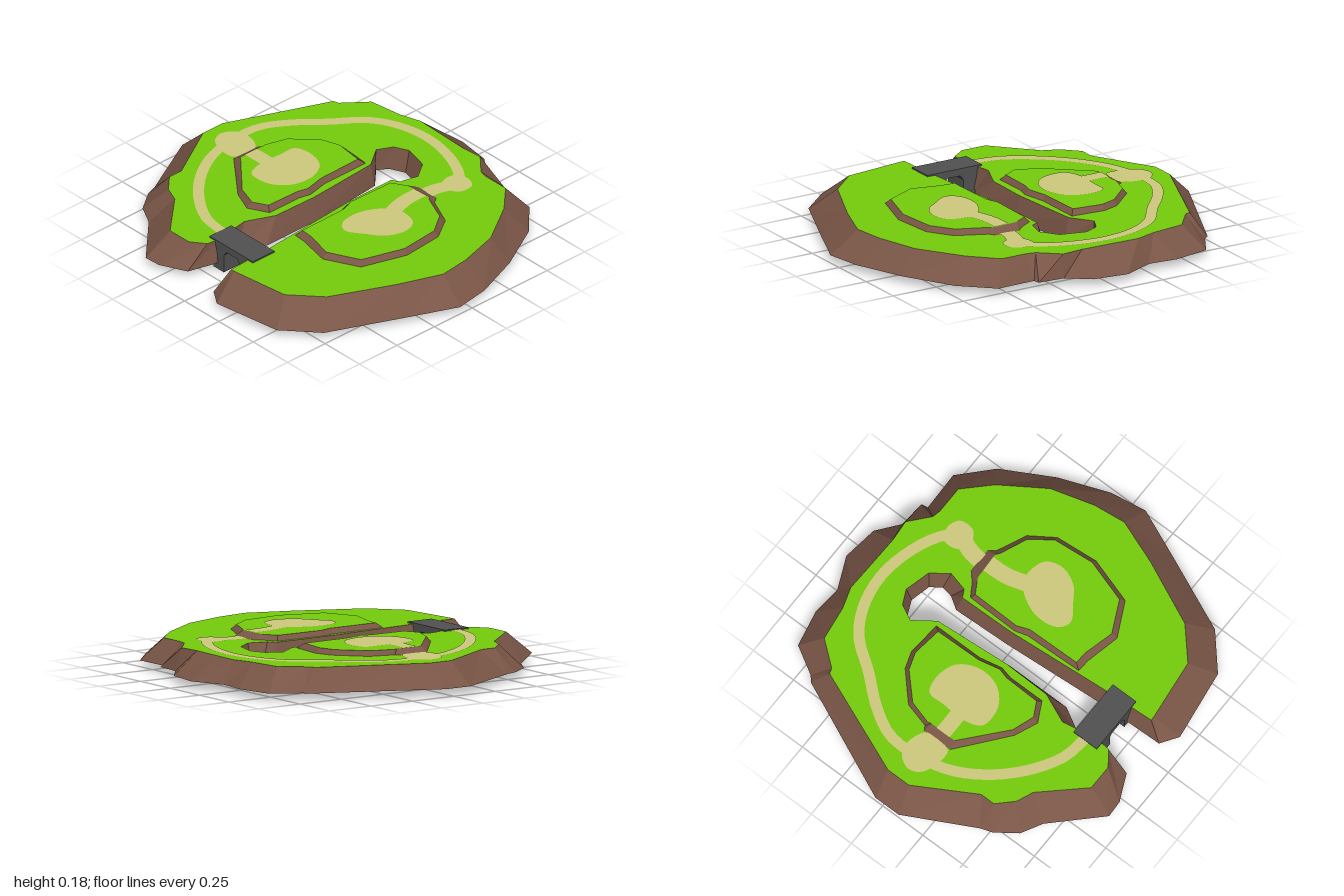
import * as THREE from 'three';

const BASE = 0.04, GROUND = 0.155, PLATEAU = 0.18, LIFT = 0.003;

const mat = (name, color) => {
  const m = new THREE.MeshStandardMaterial({ color });
  m.name = name;
  return m;
};

// Each row: upper x, z, then lower x, z (counterclockwise seen from above)
const COAST = [
  [-0.80, 0.12, -0.88, 0.08], [-0.80, 0.14, -0.94, 0.17], [-0.76, 0.465, -0.885, 0.545],
  [-0.62, 0.62, -0.73, 0.72], [-0.29, 0.77, -0.34, 0.89], [-0.06, 0.855, -0.08, 1.0],
  [0.11, 0.835, 0.11, 0.97], [0.335, 0.77, 0.37, 0.87], [0.56, 0.62, 0.63, 0.725],
  [0.69, 0.49, 0.78, 0.565], [0.69, 0.345, 0.775, 0.355], [0.70, 0.30, 0.81, 0.35],
  [0.79, 0.195, 0.82, 0.21], [0.78, 0.08, 0.91, 0.095], [0.785, -0.09, 0.935, -0.09],
  [0.79, -0.24, 0.86, -0.26], [0.755, -0.35, 0.875, -0.41], [0.73, -0.53, 0.835, -0.605],
  [0.605, -0.63, 0.69, -0.69], [0.595, -0.66, 0.665, -0.72], [0.06, -0.88, 0.045, -1.0],
  [-0.07, -0.88, -0.10, -1.0], [-0.38, -0.70, -0.46, -0.81], [-0.46, -0.70, -0.52, -0.79],
  [-0.54, -0.62, -0.63, -0.71], [-0.575, -0.535, -0.69, -0.60], [-0.785, -0.34, -0.92, -0.37],
  [-0.785, -0.205, -0.915, -0.28], [-0.73, -0.13, -0.85, -0.14], [-0.66, -0.12, -0.70, -0.10],
];
const RIVER = [
  [-0.46, -0.155, -0.53, -0.12], [-0.31, -0.09, -0.405, -0.05], [-0.06, -0.085, -0.06, -0.05],
  [0.345, -0.115, 0.35, -0.09], [0.455, -0.195, 0.45, -0.19], [0.535, -0.155, 0.505, -0.155],
  [0.57, -0.08, 0.54, -0.075], [0.535, 0.055, 0.515, 0.03], [0.445, 0.12, 0.46, 0.07],
  [0.345, 0.095, 0.40, 0.06], [0.325, 0.055, 0.335, 0.018], [0.03, 0.06, 0.03, 0.03],
  [-0.53, 0.105, -0.53, 0.07],
];
const NORTH_HILL = [
  [-0.11, -0.565, -0.115, -0.61], [-0.30, -0.345, -0.32, -0.355], [-0.34, -0.23, -0.37, -0.235],
  [-0.30, -0.155, -0.315, -0.13], [-0.11, -0.15, -0.12, -0.13], [-0.055, -0.135, -0.055, -0.115],
  [0.055, -0.16, 0.065, -0.14], [0.305, -0.165, 0.335, -0.14], [0.325, -0.32, 0.35, -0.32],
  [0.295, -0.41, 0.32, -0.41], [0.175, -0.535, 0.19, -0.55], [0.055, -0.57, 0.06, -0.585],
  [0.035, -0.565, 0.045, -0.61],
];
const SOUTH_HILL = [
  [-0.33, 0.125, -0.36, 0.105], [-0.335, 0.195, -0.365, 0.175], [-0.375, 0.35, -0.405, 0.355],
  [-0.295, 0.515, -0.315, 0.535], [-0.07, 0.585, -0.075, 0.61], [0.145, 0.565, 0.15, 0.59],
  [0.255, 0.485, 0.275, 0.505], [0.315, 0.345, 0.345, 0.35], [0.33, 0.325, 0.38, 0.325],
  [0.325, 0.18, 0.38, 0.195], [0.315, 0.16, 0.335, 0.145], [0.28, 0.10, 0.295, 0.08],
  [0.02, 0.095, 0.015, 0.075], [-0.045, 0.12, -0.05, 0.095],
];

// Flat face lying at height y, from x, z points
function sheet(points, y) {
  const g = new THREE.ShapeGeometry(new THREE.Shape(points.map(([x, z]) => new THREE.Vector2(x, -z))));
  return g.rotateX(-Math.PI / 2).translate(0, y, 0);
}

// Sloping wall between the upper and lower outlines
function slope(rows, yTop, yBottom) {
  const pos = [];
  rows.forEach(([tx, tz, bx, bz], i) => {
    const [ux, uz, vx, vz] = rows[(i + 1) % rows.length];
    pos.push(bx, yBottom, bz, vx, yBottom, vz, ux, yTop, uz);
    pos.push(bx, yBottom, bz, ux, yTop, uz, tx, yTop, tz);
  });
  const g = new THREE.BufferGeometry();
  g.setAttribute('position', new THREE.Float32BufferAttribute(pos, 3));
  g.computeVertexNormals();
  return g;
}

const smooth = (pts, closed) =>
  new THREE.CatmullRomCurve3(pts.map(([x, z]) => new THREE.Vector3(x, 0, z)), closed);

// Rounded patch through a few points
const patch = (pts, y) => sheet(smooth(pts, true).getPoints(40).slice(0, -1).map(p => [p.x, p.z]), y);

// Ribbon of constant width along a curve
function ribbon(pts, width, y) {
  const curve = smooth(pts, false), left = [], right = [];
  for (let i = 0; i <= 48; i++) {
    const p = curve.getPointAt(i / 48), t = curve.getTangentAt(i / 48);
    const dx = -t.z * width / 2, dz = t.x * width / 2;
    left.push([p.x + dx, p.z + dz]);
    right.unshift([p.x - dx, p.z - dz]);
  }
  return sheet([...left, ...right], y);
}

export function createModel() {
  const grass = mat('grass green', 0x74cc0c);
  const earth = mat('earth brown', 0x795546);
  const sand = mat('path sand', 0xcdc87c);
  const stone = mat('bridge grey', 0x505050);
  const model = new THREE.Group();
  model.name = 'island';
  const add = (name, geometry, material) => {
    const m = new THREE.Mesh(geometry, material);
    m.name = name;
    model.add(m);
  };

  // Island body split by the river inlet
  const island = [...COAST, ...RIVER];
  add('islandBanks', slope(island, GROUND, BASE), earth);
  add('islandGrass', sheet(island, GROUND), grass);
  add('islandUnderside', sheet(island.map(r => [r[2], -r[3]]), 0).rotateX(Math.PI).translate(0, BASE, 0), earth);

  // Two raised hills
  for (const [name, rows] of [['northHill', NORTH_HILL], ['southHill', SOUTH_HILL]]) {
    add(name + 'Rim', slope(rows, PLATEAU, GROUND), earth);
    add(name + 'Grass', sheet(rows, PLATEAU), grass);
  }

  // Sandy paths and clearings
  const low = GROUND + LIFT, high = PLATEAU + LIFT;
  add('ringPath', ribbon([[-0.605, -0.15], [-0.58, -0.30], [-0.45, -0.50], [-0.27, -0.65], [-0.10, -0.72],
    [0.15, -0.735], [0.30, -0.66], [0.45, -0.535], [0.60, -0.42], [0.68, -0.28], [0.71, -0.10],
    [0.68, 0.08], [0.62, 0.22], [0.55, 0.31]], 0.055, low), sand);
  add('northJunction', patch([[-0.11, -0.62], [-0.115, -0.70], [-0.075, -0.79], [-0.01, -0.815], [0.06, -0.77],
    [0.07, -0.69], [0.03, -0.61], [-0.04, -0.605]], low), sand);
  add('northHillPath', ribbon([[-0.04, -0.568], [-0.04, -0.42]], 0.08, high), sand);
  add('northClearing', patch([[-0.18, -0.33], [-0.17, -0.42], [-0.08, -0.455], [0.05, -0.45], [0.14, -0.445],
    [0.165, -0.36], [0.13, -0.25], [0.03, -0.195], [-0.08, -0.205], [-0.15, -0.26]], high), sand);
  add('southJunction', patch([[0.47, 0.31], [0.50, 0.24], [0.58, 0.235], [0.61, 0.30], [0.58, 0.365],
    [0.50, 0.365]], low), sand);
  add('southRampPath', ribbon([[0.375, 0.26], [0.44, 0.27], [0.52, 0.30]], 0.085, low), sand);
  add('southHillPath', ribbon([[0.328, 0.265], [0.22, 0.27], [0.08, 0.31]], 0.085, high), sand);
  add('southClearing', patch([[-0.18, 0.27], [-0.14, 0.21], [-0.03, 0.195], [0.08, 0.24], [0.14, 0.31],
    [0.12, 0.44], [0.03, 0.475], [-0.07, 0.435], [-0.12, 0.37]], high), sand);

  // Bridge with two legs and an opening over the water
  const arch = new THREE.Shape([[-0.13, 0], [-0.055, 0], [-0.055, 0.10], [-0.035, 0.125], [0.04, 0.125],
    [0.06, 0.10], [0.06, 0], [0.137, 0], [0.137, 0.14], [0.165, 0.15], [0.165, 0.162], [-0.15, 0.162],
    [-0.15, 0.15], [-0.13, 0.14]].map(p => new THREE.Vector2(...p)));
  const bridge = new THREE.ExtrudeGeometry(arch, { depth: 0.145, bevelEnabled: false });
  add('bridge', bridge.rotateY(Math.PI / 2).translate(-0.683, 0, 0), stone);

  return model;
}
